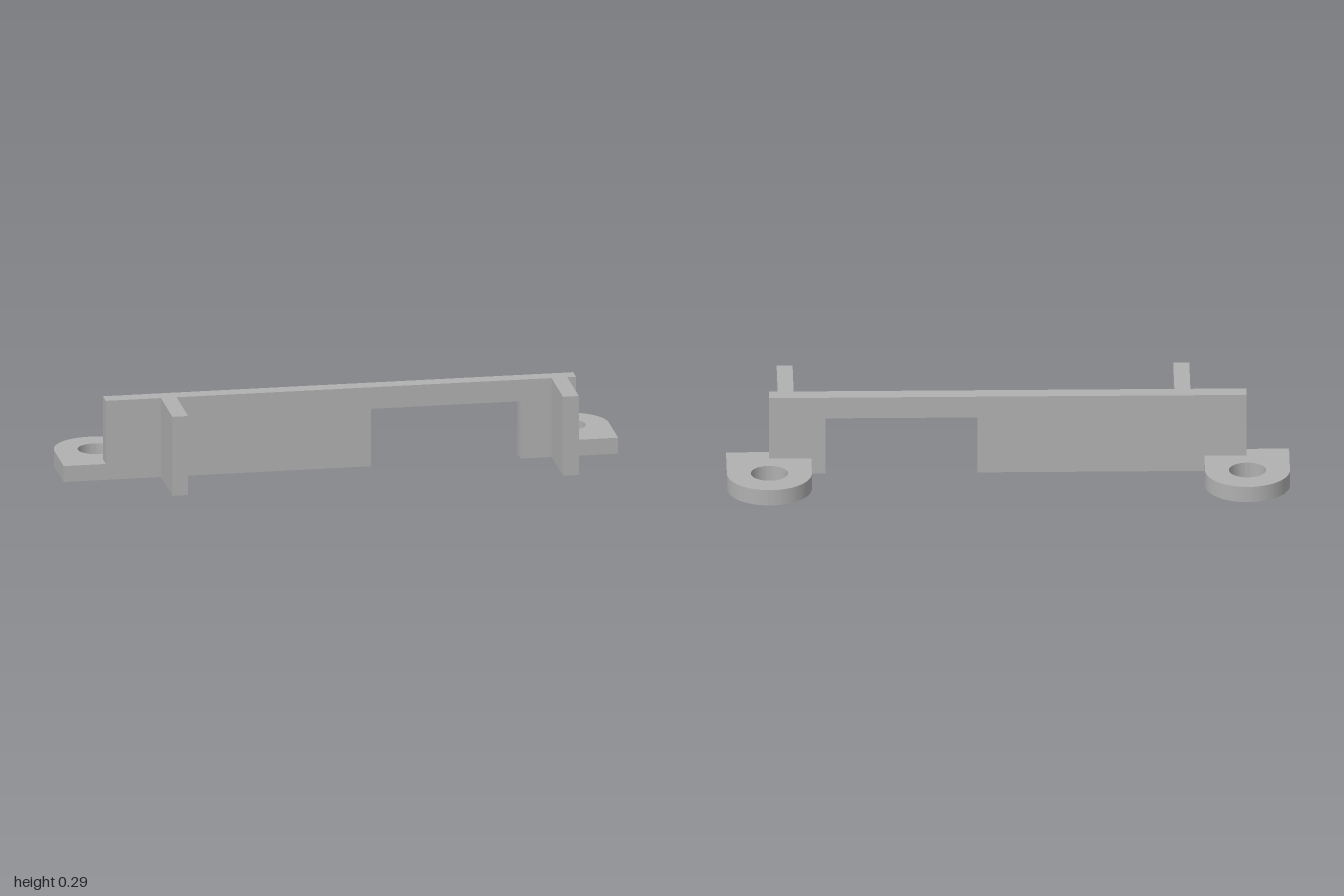
import * as THREE from 'three';
import { toCreasedNormals } from 'three/addons/utils/BufferGeometryUtils.js';

const HEIGHT = 0.293;
const WALL_BACK = -0.005, WALL_FRONT = 0.053, FIN_FRONT = 0.287;

// Vertical plate with a rectangular notch cut from its lower edge
function wallGeometry() {
  const outline = [
    [-0.848, 0], [0.108, 0], [0.108, 0.213], [0.647, 0.213],
    [0.647, 0], [0.848, 0], [0.848, HEIGHT], [-0.848, HEIGHT],
  ].map(([x, y]) => new THREE.Vector2(x, y));
  return new THREE.ExtrudeGeometry(new THREE.Shape(outline), {
    depth: WALL_FRONT - WALL_BACK, bevelEnabled: false,
  }).translate(0, 0, WALL_BACK);
}

// Flat lug with a rounded back end and a screw hole
function lugGeometry() {
  const r = 0.151, centre = 0.136;
  const shape = new THREE.Shape();
  shape.moveTo(-r, -WALL_FRONT);
  shape.lineTo(r, -WALL_FRONT);
  shape.lineTo(r, centre);
  shape.absarc(0, centre, r, 0, Math.PI, false);
  shape.closePath();
  const hole = new THREE.Path();
  hole.absarc(0, centre, 0.066, 0, Math.PI * 2, true);
  shape.holes.push(hole);
  const geometry = new THREE.ExtrudeGeometry(shape, {
    depth: 0.059, bevelEnabled: false, curveSegments: 32,
  });
  return toCreasedNormals(geometry.rotateX(-Math.PI / 2), 0.6);
}

export function createModel() {
  const model = new THREE.Group();
  model.name = 'mountingBracket';
  const grey = new THREE.MeshStandardMaterial({ color: 0xb0b0b0 });
  grey.name = 'grey';

  const add = (name, geometry, x = 0, y = 0, z = 0) => {
    const mesh = new THREE.Mesh(geometry, grey);
    mesh.name = name;
    mesh.position.set(x, y, z);
    model.add(mesh);
  };

  add('wall', wallGeometry());

  // Screw lugs at both ends
  const lug = lugGeometry();
  add('rightLug', lug, -0.849);
  add('leftLug', lug, 0.849);

  // Upright fins projecting forward from the wall
  const fin = new THREE.BoxGeometry(0.057, HEIGHT, FIN_FRONT - WALL_FRONT);
  const finZ = (FIN_FRONT + WALL_FRONT) / 2;
  add('rightFin', fin, -0.621, HEIGHT / 2, finZ);
  add('leftFin', fin, 0.788, HEIGHT / 2, finZ);

  return model;
}
